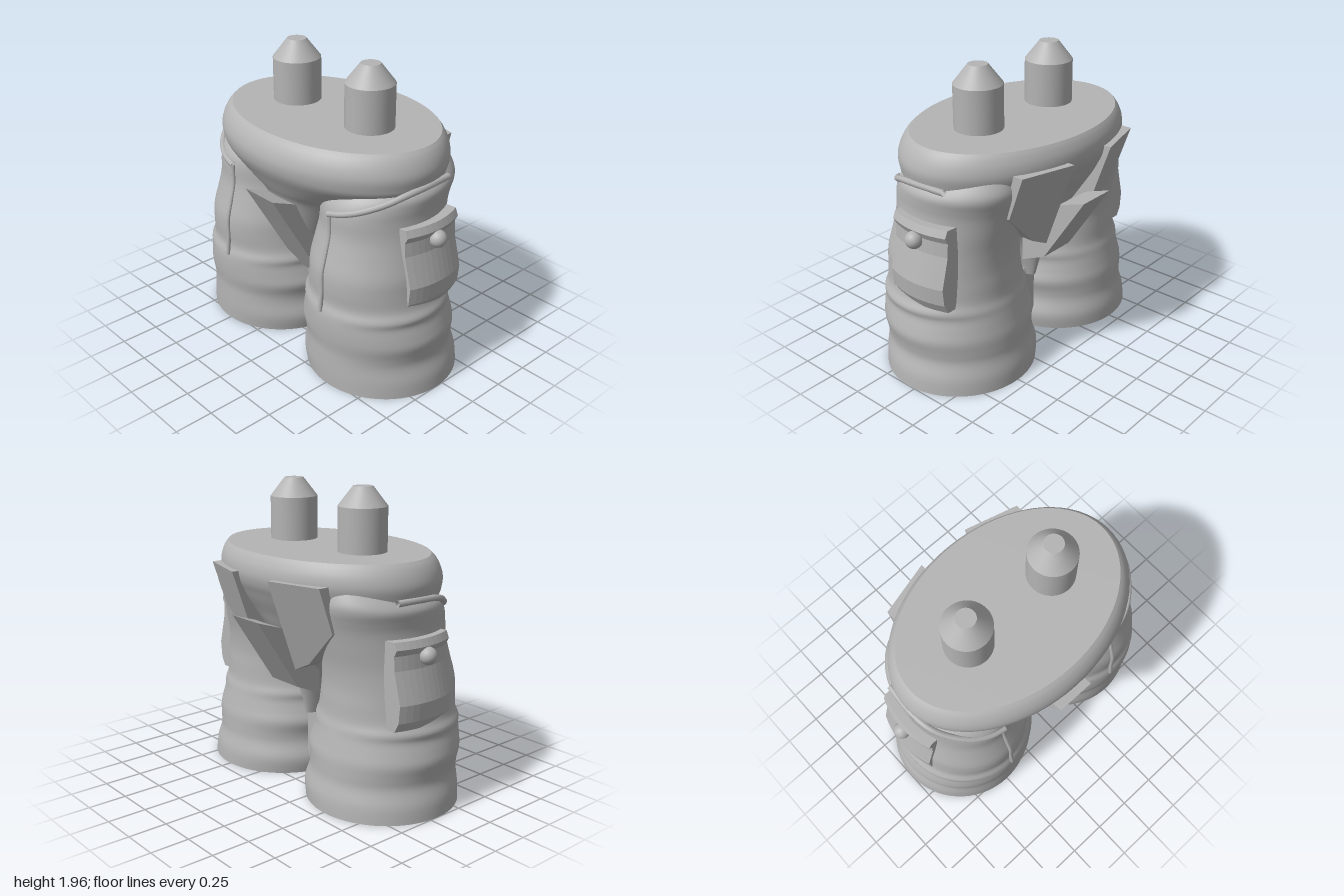
import * as THREE from 'three';

const grey = new THREE.MeshStandardMaterial({ color: 0xb4b4b4, side: THREE.DoubleSide });
grey.name = 'plain grey';

function add(parent, name, geometry, x = 0, y = 0, z = 0) {
  const mesh = new THREE.Mesh(geometry, grey);
  mesh.name = name;
  mesh.position.set(x, y, z);
  parent.add(mesh);
  return mesh;
}

// Smooth skin through oval rings; each row is [y, xMin, xMax, zFront, zBack], bottom to top
function loft(rows, sides = 72) {
  const columns = [1, 2, 3, 4].map(k => new THREE.SplineCurve(rows.map(r => new THREE.Vector2(r[0], r[k]))));
  const pos = [], index = [], levels = (rows.length - 1) * 4;
  for (let i = 0; i <= levels; i++) {
    const p = columns.map(c => c.getPoint(i / levels));
    const [x0, x1, zf, zb] = p.map(v => v.y);
    for (let j = 0; j < sides; j++) {
      const a = j / sides * Math.PI * 2;
      pos.push((x0 + x1) / 2 + (x1 - x0) / 2 * Math.cos(a), p[0].x, (zf + zb) / 2 + (zf - zb) / 2 * Math.sin(a));
      if (i < levels) {
        const n = (j + 1) % sides, b = i * sides, t = b + sides;
        index.push(b + j, t + j, b + n, b + n, t + j, t + n);
      }
    }
  }
  const g = new THREE.BufferGeometry();
  g.setAttribute('position', new THREE.Float32BufferAttribute(pos, 3));
  g.setIndex(index);
  g.computeVertexNormals();
  return g;
}

function extrude(points, depth, steps = 1) {
  const shape = new THREE.Shape(points.map(p => new THREE.Vector2(...p)));
  return new THREE.ExtrudeGeometry(shape, { depth, steps, bevelEnabled: false });
}

// Move every vertex by a rule
function warp(g, rule) {
  const p = g.attributes.position, v = new THREE.Vector3();
  for (let i = 0; i < p.count; i++) {
    rule(v.fromBufferAttribute(p, i));
    p.setXYZ(i, v.x, v.y, v.z);
  }
  g.computeVertexNormals();
  return g;
}

function tube(points, radius) {
  const path = new THREE.CatmullRomCurve3(points.map(p => new THREE.Vector3(...p)));
  return new THREE.TubeGeometry(path, 32, radius, 8);
}

// Everything on the +x side
function makeSide() {
  const side = new THREE.Group();

  // Wrinkled trouser leg
  add(side, 'leg', loft([
    [0, .015, 1, .54, -.43], [.1, .0, .99, .545, -.425], [.2, .03, .96, .545, -.4],
    [.27, .03, .965, .545, -.395], [.35, .01, .98, .555, -.39], [.42, .03, .965, .56, -.375],
    [.49, .05, .945, .56, -.36], [.54, .045, .953, .553, -.35], [.6, .07, .925, .535, -.335],
    [.7, .09, .91, .54, -.33], [.8, .1, .9, .535, -.325], [.92, .12, .875, .505, -.335],
    [1.04, .14, .855, .478, -.36], [1.15, .15, .845, .475, -.385], [1.22, .15, .85, .46, -.405],
    [1.28, .17, .852, .42, -.42], [1.33, .22, .82, .36, -.42], [1.4, .25, .76, .3, -.4]
  ]));

  // Sole with a round socket
  const sole = new THREE.Shape().absellipse(.508, .055, .492, .485, 0, Math.PI * 2);
  sole.holes.push(new THREE.Path().absellipse(.51, .055, .13, .13, 0, Math.PI * 2, true));
  add(side, 'sole', new THREE.ShapeGeometry(sole, 36).rotateX(Math.PI / 2));
  const wall = new THREE.CylinderGeometry(.13, .13, .3, 40, 1, true);
  wall.scale(-1, 1, 1);
  wall.attributes.normal.needsUpdate = true;
  wall.setIndex([...wall.index.array].reverse());
  wall.computeVertexNormals();
  wall.setIndex([...wall.index.array].reverse());
  add(side, 'socketWall', wall, .51, .15, .055);
  add(side, 'socketEnd', new THREE.CircleGeometry(.13, 40).rotateX(Math.PI / 2), .51, .3, .055);

  // Peg on the waist
  add(side, 'peg', new THREE.CylinderGeometry(.155, .155, .34, 48), .335, 1.67, .025);
  add(side, 'pegTip', new THREE.CylinderGeometry(.062, .155, .12, 48), .335, 1.9, .025);

  // Cargo pocket curved round the thigh
  const pocket = extrude([
    [.78, 1.12], [.9, 1.125], [.92, 1.08], [.9, 1.04], [.905, .95], [.957, .75], [.947, .64], [.915, .58], [.75, .58]
  ], .44, 10);
  add(side, 'cargoPocket', warp(pocket, v => { v.z -= .2; v.x -= .9 * (v.z - .02) ** 2; }));
  add(side, 'pocketButton', new THREE.SphereGeometry(.055, 24, 16), .918, 1.02, .02);

  // Front seam and slanted pocket edge
  add(side, 'frontSeam', tube([
    [.467, 1.17, .475], [.467, 1.04, .476], [.467, .92, .505], [.467, .8, .536], [.467, .68, .54], [.467, .53, .555]
  ], .014));
  add(side, 'pocketEdge', tube([
    [.46, 1.17, .48], [.56, 1.195, .46], [.66, 1.23, .41], [.76, 1.28, .31],
    [.82, 1.325, .2], [.838, 1.34, .05], [.825, 1.34, -.15]
  ], .02));

  // Back pocket panel sloping in toward the crotch
  const panel = extrude([[.18, .84], [.3, .9], [.54, 1.14], [.54, 1.43], [.18, 1.43]], .15);
  add(side, 'backPocket', warp(panel, v => { v.z += -.595 + .27 * (v.x - .18) + .35 * (1.43 - v.y); }));
  return side;
}

export function createModel() {
  const model = new THREE.Group();
  model.name = 'trousers';

  // Hips narrowing down to the crotch
  const hipRows = [
    [.45, .05, .2, -.15], [.7, .13, .33, -.22], [.95, .3, .42, -.33], [1.1, .46, .47, -.41],
    [1.17, .6, .51, -.445], [1.25, .75, .555, -.49], [1.31, .825, .59, -.52], [1.36, .842, .61, -.545],
    [1.42, .85, .617, -.56], [1.48, .835, .603, -.555], [1.53, .808, .575, -.535], [1.56, .78, .545, -.515]
  ];
  add(model, 'hips', loft(hipRows.map(([y, r, f, b]) => [y, -r, r, f, b])));
  const top = new THREE.Shape().absellipse(0, -.015, .78, .53, 0, Math.PI * 2);
  add(model, 'waistTop', new THREE.ShapeGeometry(top, 36).rotateX(-Math.PI / 2), 0, 1.56, 0);

  // Web joining the legs
  add(model, 'legWeb', new THREE.BoxGeometry(.1, .56, .3), 0, .281, .05);

  // Angled wedges at the front and back of the crotch; profile is [z, y]
  const wedge = (name, profile) => {
    const g = extrude(profile, .26);
    add(model, name, warp(g, v => v.set(.13 - v.z, v.y, v.x)));
  };
  wedge('frontWedge', [[.2, .5], [.24, .5], [.49, .93], [.63, 1.17], [.46, 1.1], [.2, .8]]);
  wedge('backWedge', [[-.15, .9], [-.46, 1.11], [-.635, 1.17], [-.33, .7], [-.15, .62]]);

  // Matching sides
  const left = makeSide(), right = makeSide();
  left.name = 'leftSide';
  right.name = 'rightSide';
  right.scale.x = -1;
  model.add(left, right);
  return model;
}
